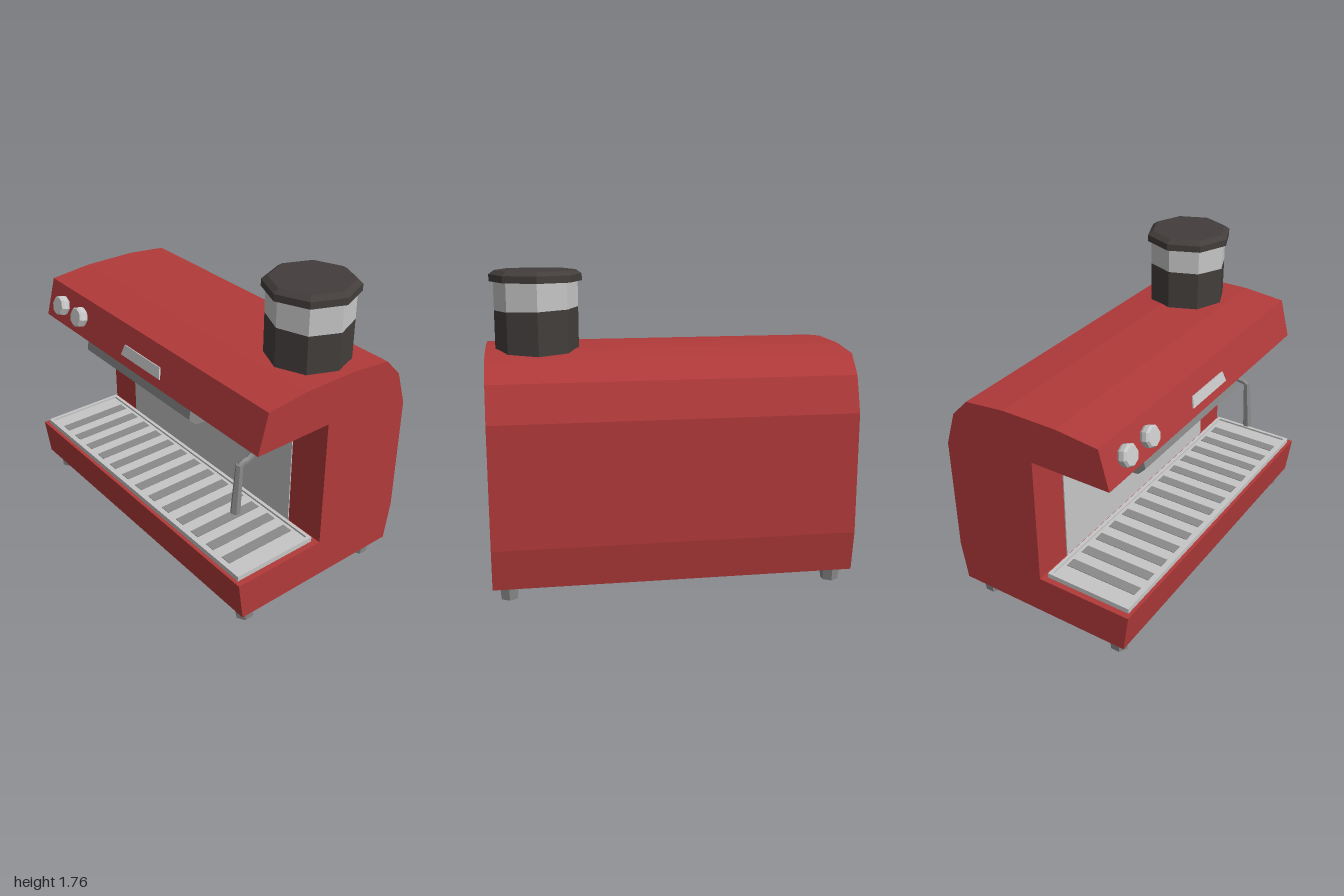
import * as THREE from 'three';

const mat = (name, color) => {
  const m = new THREE.MeshStandardMaterial({ color });
  m.name = name;
  return m;
};

export function createModel() {
  const red = mat('red enamel', 0xb23a3a);
  const steel = mat('light steel', 0xc6c6c6);
  const grey = mat('mid grey metal', 0x8a8a8a);
  const dark = mat('dark plastic', 0x433e3c);

  const model = new THREE.Group();
  model.name = 'espressoMachine';

  // Adds a faceted mesh to the model
  function add(name, geometry, material, x = 0, y = 0, z = 0, parent = model) {
    const g = geometry.index ? geometry.toNonIndexed() : geometry;
    g.computeVertexNormals();
    const mesh = new THREE.Mesh(g, material);
    mesh.name = name;
    mesh.position.set(x, y, z);
    parent.add(mesh);
    return mesh;
  }

  // Side profile of [z, y] points, extruded across x
  function sideExtrude(points, x0, x1) {
    const shape = new THREE.Shape(points.map(([z, y]) => new THREE.Vector2(-z, y)));
    return new THREE.ExtrudeGeometry(shape, { depth: x1 - x0, bevelEnabled: false })
      .rotateY(Math.PI / 2).translate(x0, 0, 0);
  }

  // C-shaped housing
  add('body', sideExtrude([
    [0.54, 0.09], [0.57, 0.32], [0, 0.32], [0, 1.08], [0.47, 1.08], [0.41, 1.305],
    [0.16, 1.33], [-0.16, 1.33], [-0.405, 1.305], [-0.505, 1.2], [-0.57, 1.0],
    [-0.57, 0.32], [-0.535, 0.09],
  ], -1, 1), red);

  // Steel back panel
  add('backPanel', new THREE.BoxGeometry(1.51, 0.76, 0.006), steel, -0.003, 0.7, 0.003);

  // Brew head under the overhang
  add('brewHead', sideExtrude([
    [0, 0.905], [0.385, 0.93], [0.428, 0.975], [0.41, 1.085], [0, 1.085],
  ], -0.615, 0.4), grey);

  // Drip tray: raised rim, floor and dark slots
  const rect = (Kind, hx, hz) => new Kind([[-hx, -hz], [hx, -hz], [hx, hz], [-hx, hz]]
    .map(([x, z]) => new THREE.Vector2(x, z)));
  const rim = rect(THREE.Shape, 0.966, 0.26);
  rim.holes.push(rect(THREE.Path, 0.946, 0.24));
  add('trayRim', new THREE.ExtrudeGeometry(rim, { depth: 0.03, bevelEnabled: false })
    .rotateX(-Math.PI / 2), steel, 0, 0.32, 0.29);
  add('trayFloor', new THREE.BoxGeometry(1.9, 0.02, 0.49), steel, 0, 0.328, 0.29);
  for (let i = -6; i <= 6; i++) {
    add('traySlot', new THREE.BoxGeometry(0.064, 0.004, 0.44), grey, i * 0.136, 0.339, 0.29);
  }

  // Controls lie on the sloping front fascia
  const fascia = new THREE.Group();
  fascia.name = 'fascia';
  fascia.position.set(0, 1.08, 0.47);
  fascia.rotation.x = -Math.atan2(0.06, 0.225);
  model.add(fascia);
  for (const x of [-0.83, -0.627]) {
    const profile = [[0, -0.01], [0.052, -0.01], [0.062, 0.015], [0.062, 0.04], [0.052, 0.053], [0, 0.053]]
      .map(([r, h]) => new THREE.Vector2(r, h));
    add('knob', new THREE.LatheGeometry(profile, 8).rotateX(Math.PI / 2), steel, x, 0.115, 0, fascia);
  }
  const plate = new THREE.Shape([[-0.185, 0.054], [0.182, 0.054], [0.165, 0.118], [-0.168, 0.118]]
    .map(([x, y]) => new THREE.Vector2(x, y)));
  add('namePlate', new THREE.ExtrudeGeometry(plate, { depth: 0.008, bevelEnabled: false }),
    steel, 0, 0, 0, fascia);

  // Steam wand: bent pipe and thicker nozzle
  const wand = new THREE.CurvePath();
  const bends = [[1.09, 0.23], [0.9, 0.23], [0.86, 0.25], [0.836, 0.285], [0.832, 0.325], [0.815, 0.345]]
    .map(([y, z]) => new THREE.Vector3(0.718, y, z));
  for (let i = 1; i < bends.length; i++) wand.add(new THREE.LineCurve3(bends[i - 1], bends[i]));
  add('wandPipe', new THREE.TubeGeometry(wand, 24, 0.018, 6), grey);
  const nozzle = add('wandNozzle', new THREE.CylinderGeometry(0.021, 0.029, 0.3, 6), grey, 0.718, 0.678, 0.354);
  nozzle.rotation.x = -0.075;

  // Bean hopper: beans with a tilted surface, clear band and lid
  const hx = 0.715, hz = -0.105;
  const tilt = (geometry, top) => {
    const p = geometry.attributes.position;
    for (let i = 0; i < p.count; i++) {
      if ((p.getY(i) > 0) === top) p.setY(i, p.getY(i) - p.getX(i) * 0.035);
    }
    return geometry;
  };
  add('hopperBeans', tilt(new THREE.CylinderGeometry(0.23, 0.23, 0.25, 8), true), dark, hx, 1.425, hz);
  add('hopperBand', tilt(new THREE.CylinderGeometry(0.23, 0.23, 0.16, 8), false), steel, hx, 1.63, hz);
  const lid = [[0, 0], [0.253, 0], [0.253, 0.038], [0.222, 0.06], [0, 0.06]]
    .map(([r, y]) => new THREE.Vector2(r, y));
  add('hopperLid', new THREE.LatheGeometry(lid, 8), dark, hx, 1.7, hz);

  // Tapered feet
  for (const x of [-0.912, 0.912]) {
    for (const z of [0.455, -0.425]) {
      add('foot', new THREE.CylinderGeometry(0.06, 0.05, 0.095, 6), grey, x, 0.0475, z);
    }
  }
  return model;
}
